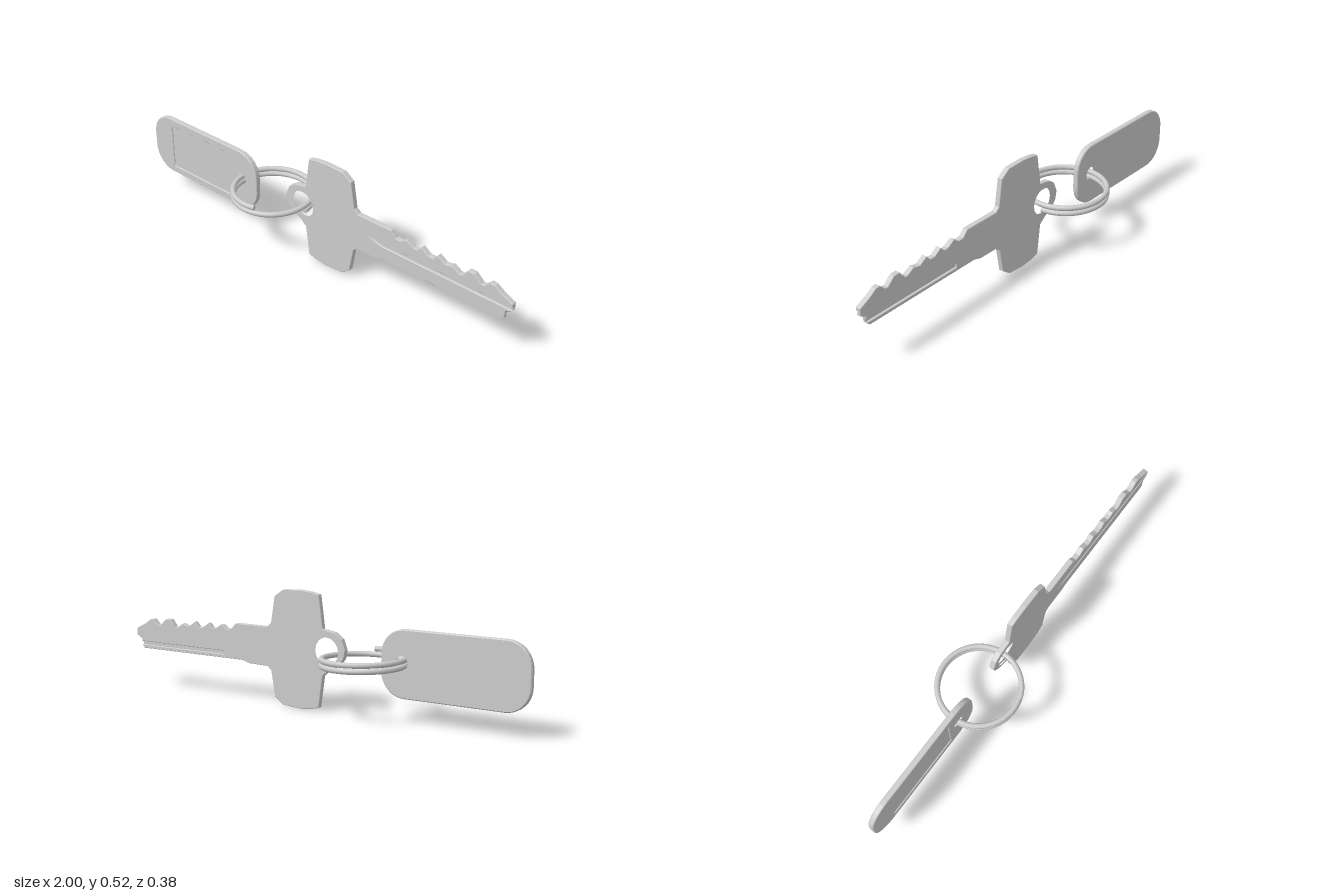
import * as THREE from 'three';

const material = new THREE.MeshStandardMaterial({ color: 0xcccccc, flatShading: true });

function addMesh(parent, geometry, name) {
  const mesh = new THREE.Mesh(geometry, material);
  mesh.name = name;
  parent.add(mesh);
  return mesh;
}

function makeShape(points) {
  return new THREE.Shape(points.map(([x, y]) => new THREE.Vector2(x, y)));
}

function circleHole(x, y, r) {
  return new THREE.Path().absarc(x, y, r, 0, Math.PI * 2, true);
}

// Plate lying between two z values, with an optional chamfer inside its outline
function plate(shape, z0, z1, bevel = 0, curveSegments = 8) {
  return new THREE.ExtrudeGeometry(shape, {
    depth: z1 - z0 - 2 * bevel,
    curveSegments,
    bevelEnabled: bevel > 0,
    bevelThickness: bevel,
    bevelSize: bevel,
    bevelOffset: -bevel,
    bevelSegments: 1,
  }).translate(0, 0, z0 + bevel);
}

// Key outline, clockwise from the upper corner of the grip; grooves open at the tip
const gripTop = [
  [-0.035, 0.51], [0.0, 0.518], [0.06, 0.524], [0.15, 0.521], [0.195, 0.49],
  [0.215, 0.37], [0.235, 0.352],
];
const teeth = [
  [0.41, 0.352], [0.435, 0.325], [0.46, 0.323], [0.49, 0.342], [0.525, 0.32],
  [0.545, 0.32], [0.565, 0.341], [0.6, 0.317], [0.625, 0.317], [0.645, 0.34],
  [0.68, 0.317], [0.7, 0.319], [0.715, 0.326], [0.75, 0.305], [0.765, 0.306],
  [0.79, 0.339], [0.82, 0.338], [0.855, 0.306], [0.87, 0.308], [0.895, 0.333],
  [0.915, 0.33], [0.95, 0.307], [1.0, 0.283],
];
const tipTop = [1.0, 0.25];
const tipBottom = [[0.972, 0.235], [0.968, 0.2], [0.955, 0.19]];
const gripBottom = [
  [0.37, 0.19], [0.335, 0.179], [0.235, 0.177], [0.215, 0.16], [0.195, 0.045],
  [0.15, 0.013], [0.06, 0.006], [0.0, 0.012], [-0.035, 0.022], [-0.055, 0.163],
];
const eyelet = [
  [-0.09, 0.19], [-0.135, 0.212], [-0.16, 0.245], [-0.168, 0.285],
  [-0.15, 0.33], [-0.115, 0.355], [-0.055, 0.365],
];
const frontGroove = [
  [1.0, 0.268], [0.36, 0.268], [0.29, 0.27], [0.36, 0.252], [1.0, 0.252],
];
const backGroove = [[0.97, 0.222], [0.48, 0.222], [0.48, 0.206], [0.969, 0.206]];

function keyShape(front, back) {
  const shape = makeShape([
    ...gripTop, ...teeth, ...front, tipTop, tipBottom[0], ...back,
    ...tipBottom.slice(1), ...gripBottom, ...eyelet,
  ]);
  shape.holes.push(circleHole(-0.073, 0.27, 0.064));
  return shape;
}

function createKey() {
  const key = new THREE.Group();
  key.name = 'key';
  addMesh(key, plate(keyShape([], []), -0.003, 0.002), 'keyCore');
  addMesh(key, plate(keyShape(frontGroove, []), -0.001, 0.0115, 0.002), 'keyFrontFace');
  addMesh(key, plate(keyShape([], backGroove), -0.013, 0, 0.002), 'keyBackFace');
  return key;
}

function tagShape() {
  const [x0, x1, y0, y1, r] = [-1, -0.335, 0.107, 0.395, 0.108];
  const shape = new THREE.Shape();
  shape.absarc(x1 - r, y1 - r, r, Math.PI / 2, 0, true);
  shape.absarc(x1 - r, y0 + r, r, 0, -Math.PI / 2, true);
  shape.absarc(x0 + r, y0 + r, r, -Math.PI / 2, -Math.PI, true);
  shape.absarc(x0 + r, y1 - r, r, Math.PI, Math.PI / 2, true);
  shape.holes.push(circleHole(-0.432, 0.256, 0.036));
  return shape;
}

function createTag() {
  const tag = new THREE.Group();
  tag.name = 'tag';
  addMesh(tag, plate(tagShape(), 0, 0.021, 0.004, 4), 'tagBack');

  // Front layer with the recessed label window
  const face = tagShape();
  const [x0, x1, y0, y1] = [-0.88, -0.495, 0.143, 0.358];
  face.holes.push(new THREE.Path([[x0, y0], [x1, y0], [x1, y1], [x0, y1]]
    .map(([x, y]) => new THREE.Vector2(x, y))));
  addMesh(tag, plate(face, 0.009, 0.026, 0.003, 4), 'tagFrontFrame');
  return tag;
}

// Coiled split ring: a helix of a little under two turns
class RingCurve extends THREE.Curve {
  getPoint(t, target = new THREE.Vector3()) {
    const turns = 1.79 * t;
    const a = THREE.MathUtils.degToRad(16) - turns * Math.PI * 2;
    return target.set(
      -0.255 + 0.179 * Math.sin(a), 0.271 - 0.0255 * turns, 0.179 * Math.cos(a));
  }
}

function createRing() {
  const ring = new THREE.Group();
  ring.name = 'splitRing';
  const curve = new RingCurve();
  const radius = 0.012;
  const coil = addMesh(ring, new THREE.TubeGeometry(curve, 90, radius, 10), 'ringCoil');
  coil.material = new THREE.MeshStandardMaterial({ color: 0xcccccc });

  // Flat caps on the two wire ends
  for (const t of [0, 1]) {
    const cap = addMesh(ring, new THREE.CircleGeometry(radius, 10), 'ringEnd');
    const outward = curve.getTangent(t).multiplyScalar(t ? 1 : -1);
    cap.position.copy(curve.getPoint(t));
    cap.quaternion.setFromUnitVectors(new THREE.Vector3(0, 0, 1), outward);
  }
  return ring;
}

export function createModel() {
  const model = new THREE.Group();
  model.name = 'keyWithTag';
  model.add(createKey(), createTag(), createRing());
  model.position.y = -0.006;
  return model;
}
